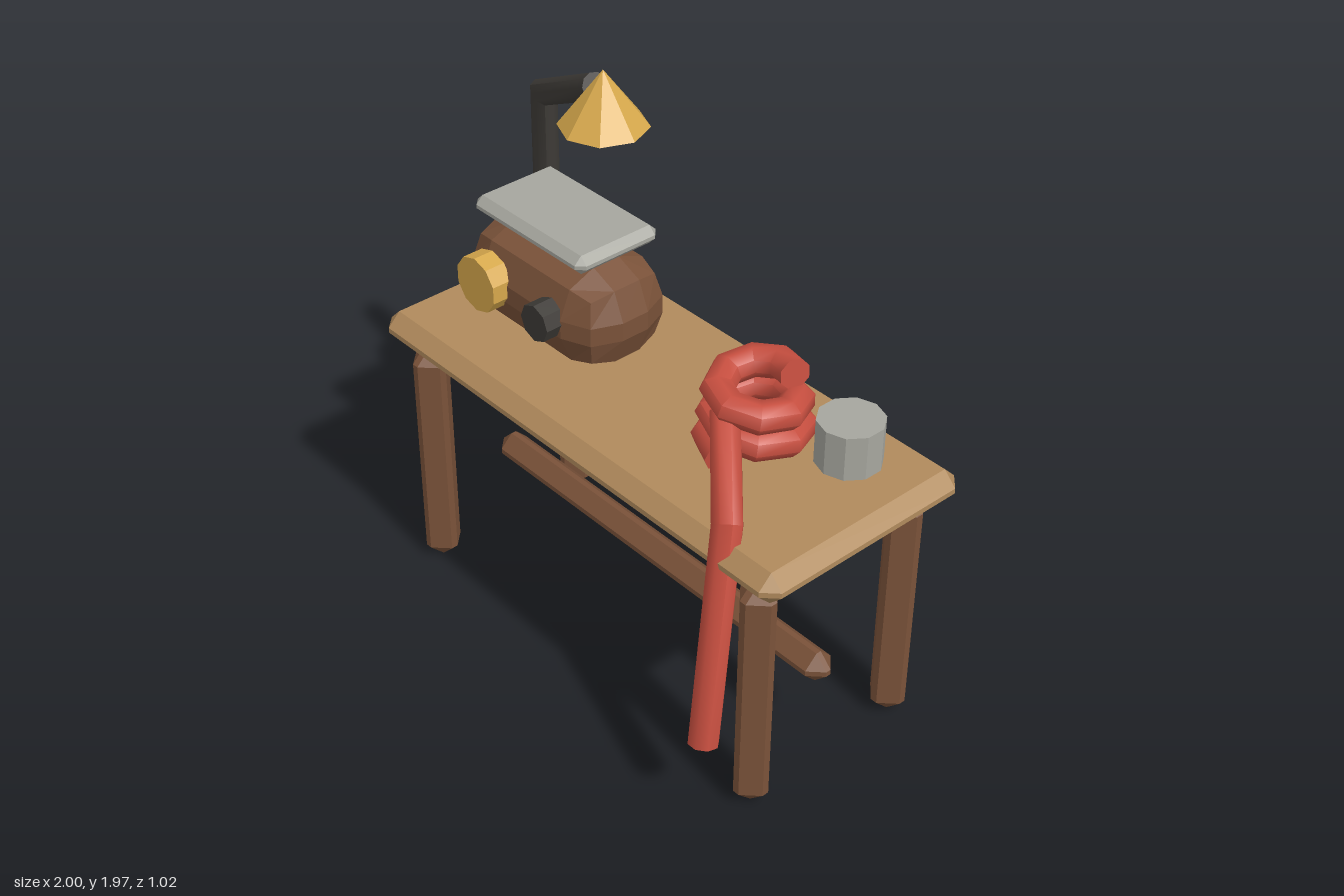
import * as THREE from 'three';
import { toCreasedNormals } from 'three/addons/utils/BufferGeometryUtils.js';
import { RoundedBoxGeometry } from 'three/addons/geometries/RoundedBoxGeometry.js';
import { ConvexGeometry } from 'three/addons/geometries/ConvexGeometry.js';

const V = (x, y, z) => new THREE.Vector3(x, y, z);

function paint(name, color) {
  const m = new THREE.MeshStandardMaterial({ color });
  m.name = name;
  return m;
}

// Box whose every edge is cut by one bevel of size b
function bevelBox(w, h, d, b) {
  const pts = [];
  for (const x of [-1, 1]) for (const y of [-1, 1]) for (const z of [-1, 1]) {
    const X = x * w / 2, Y = y * h / 2, Z = z * d / 2;
    pts.push(V(X, Y - y * b, Z - z * b), V(X - x * b, Y, Z - z * b), V(X - x * b, Y - y * b, Z));
  }
  return new ConvexGeometry(pts);
}

// Flat-sided version of a built-in geometry
function faceted(geo) {
  const g = geo.index ? geo.toNonIndexed() : geo;
  g.computeVertexNormals();
  return g;
}

// Capped tube along a polyline with mitred joints
function mitredTube(path, r, sides) {
  const dirs = path.slice(1).map((p, i) => p.clone().sub(path[i]).normalize());
  const d0 = dirs[0];
  const u = V(0, 0, 1).cross(d0).normalize();
  const v = d0.clone().cross(u);
  let ring = [];
  for (let j = 0; j < sides; j++) {
    const a = j / sides * Math.PI * 2;
    ring.push(path[0].clone().addScaledVector(u, r * Math.cos(a)).addScaledVector(v, r * Math.sin(a)));
  }
  const out = [];
  const tri = (...p) => p.forEach(q => out.push(q.x, q.y, q.z));
  for (let j = 0; j < sides; j++) tri(path[0], ring[(j + 1) % sides], ring[j]);
  dirs.forEach((d, i) => {
    const end = path[i + 1];
    const n = d.clone().add(dirs[i + 1] || d).normalize();
    // slide each corner along the segment onto the joint plane
    const next = ring.map(p => p.clone().addScaledVector(d, end.clone().sub(p).dot(n) / d.dot(n)));
    for (let j = 0; j < sides; j++) {
      const k = (j + 1) % sides;
      tri(ring[j], ring[k], next[j]);
      tri(ring[k], next[k], next[j]);
    }
    ring = next;
  });
  const last = path[path.length - 1];
  for (let j = 0; j < sides; j++) tri(last, ring[j], ring[(j + 1) % sides]);
  const g = new THREE.BufferGeometry();
  g.setAttribute('position', new THREE.Float32BufferAttribute(out, 3));
  return toCreasedNormals(g, 0.9);
}

export function createModel() {
  const model = new THREE.Group();
  model.name = 'workbench';
  const wood = paint('tan wood', 0xb08a5c);
  const brown = paint('dark brown', 0x7a5239);
  const steel = paint('pale steel', 0xa6a69e);
  const red = paint('red hose', 0xc64e3f);
  const gold = paint('brass', 0xd6a84c);
  const dark = paint('charcoal', 0x3d3a36);

  const add = (name, geo, mat, x = 0, y = 0, z = 0) => {
    const m = new THREE.Mesh(geo, mat);
    m.name = name;
    m.position.set(x, y, z);
    model.add(m);
    return m;
  };

  // Table
  add('tableTop', bevelBox(2, 0.12, 0.875, 0.05), wood, 0, 1.01, -0.075);
  for (const x of [-0.85, 0.85]) for (const z of [0.26, -0.4]) {
    add((z > 0 ? 'front' : 'back') + (x > 0 ? 'Left' : 'Right') + 'Leg',
      bevelBox(0.14, 0.95, 0.14, 0.057), brown, x, 0.475, z);
  }
  add('stretcher', bevelBox(1.73, 0.12, 0.12, 0.05), brown, 0, 0.36, -0.07);

  // Machine body with floating lid and two dials
  add('machineBody', faceted(new RoundedBoxGeometry(0.72, 0.37, 0.41, 1, 0.15)), brown, -0.475, 1.255, -0.075);
  add('machineLid', bevelBox(0.58, 0.07, 0.355, 0.028), steel, -0.475, 1.515, -0.073);
  const dial = (name, r, sides, mat, x) => {
    const geo = new THREE.CylinderGeometry(r, r, 0.08, sides).rotateX(Math.PI / 2);
    add(name, faceted(geo), mat, x, 1.275, 0.15);
  };
  dial('largeDial', 0.105, 10, gold, -0.65);
  dial('smallDial', 0.07, 8, dark, -0.33);

  // Lamp
  add('lampArm', mitredTube([V(-0.94, 1.065, -0.365), V(-0.94, 1.71, -0.365), V(-0.59, 1.888, -0.31)], 0.05, 10), dark);
  add('lampShade', faceted(new THREE.ConeGeometry(0.162, 0.21, 8)), gold, -0.545, 1.865, -0.307);

  // Coiled hose, narrowing as it climbs
  const coil = [];
  const steps = 21;
  for (let i = 0; i <= steps; i++) {
    const t = i / steps;
    const a = THREE.MathUtils.degToRad(90 + 938 * t);
    const r = 0.152 - 0.032 * t;
    coil.push(V(0.472 + r * Math.cos(a), 1.115 + 0.25 * t, -0.075 + r * Math.sin(a)));
  }
  add('hoseCoil', mitredTube(coil, 0.055, 8), red);
  add('hoseTail', mitredTube([V(0.45, 1.26, 0.04), V(0.735, 1.115, 0.295), V(0.82, 0.35, 0.455)], 0.053, 8), red);

  // Tin beside the coil
  add('tin', faceted(new THREE.CylinderGeometry(0.115, 0.115, 0.165, 10)), steel, 0.725, 1.17, -0.25);

  return model;
}
